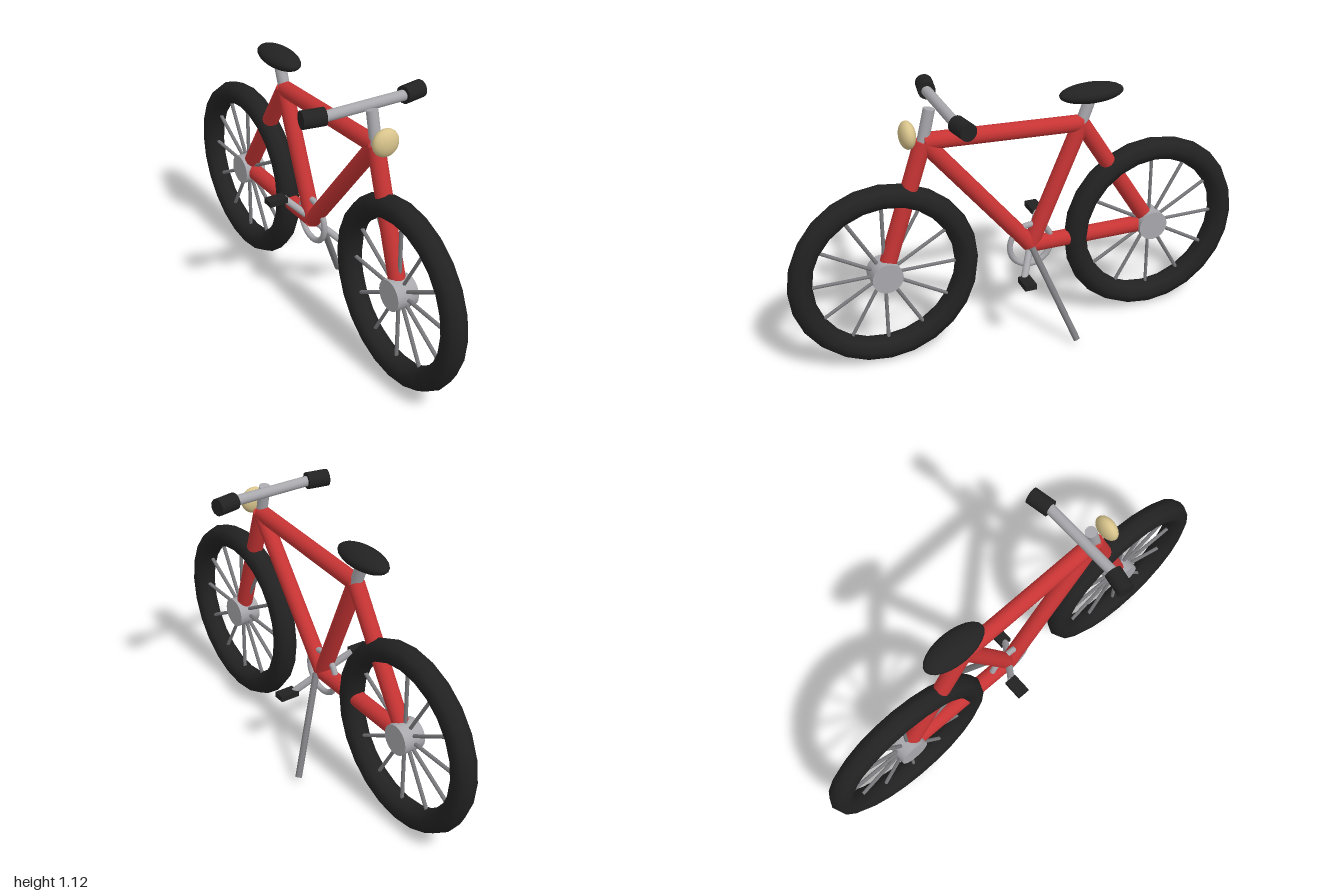
import * as THREE from 'three';

const mat = (name, color) => {
  const m = new THREE.MeshStandardMaterial({ color });
  m.name = name;
  return m;
};

export function createModel() {
  const red = mat('red paint', 0xc83434);
  const black = mat('black rubber', 0x222222);
  const metal = mat('light metal', 0xa8a8ad);
  const steel = mat('dark steel', 0x7c7c80);
  const ivory = mat('lamp ivory', 0xd8c48c);

  const bike = new THREE.Group();
  bike.name = 'bicycle';
  const UP = new THREE.Vector3(0, 1, 0);

  const add = (name, geometry, material, pos = [0, 0, 0], parent = bike) => {
    const mesh = new THREE.Mesh(geometry, material);
    mesh.name = name;
    mesh.position.set(...pos);
    parent.add(mesh);
    return mesh;
  };

  // Round bar between two points
  const bar = (name, from, to, radius, material, parent = bike, sides = 16) => {
    const a = new THREE.Vector3(...from);
    const b = new THREE.Vector3(...to);
    const dir = b.clone().sub(a);
    const mesh = add(name, new THREE.CylinderGeometry(radius, radius, dir.length(), sides), material, [0, 0, 0], parent);
    mesh.position.copy(a).add(b).multiplyScalar(0.5);
    mesh.quaternion.setFromUnitVectors(UP, dir.normalize());
    return mesh;
  };

  // Wheels: tyre, hub and twelve spokes
  const axleY = 0.408;
  const makeWheel = (name, z) => {
    const wheel = new THREE.Group();
    wheel.name = name;
    wheel.position.set(0, axleY, z);
    add('tyre', new THREE.TorusGeometry(0.35, 0.051, 8, 24), black, [0, 0, 0], wheel).rotation.y = Math.PI / 2;
    bar('hub', [-0.048, 0, 0], [0.048, 0, 0], 0.065, metal, wheel, 20);
    for (let i = 0; i < 12; i++) {
      const t = (i * Math.PI) / 6;
      bar('spoke', [0, 0, 0], [0, 0.32 * Math.cos(t), 0.32 * Math.sin(t)], 0.008, steel, wheel, 6);
    }
    bike.add(wheel);
  };
  makeWheel('frontWheel', 0.597);
  makeWheel('rearWheel', -0.597);

  // Frame tubes
  const head = [0, 0.965, 0.415];
  const seatTop = [0, 0.932, -0.262];
  const crankAxis = [0, 0.412, -0.04];
  const frontAxle = [0, axleY, 0.597];
  const rearAxle = [0, axleY, -0.597];
  const tubes = [
    ['fork', frontAxle, head],
    ['topTube', head, seatTop],
    ['downTube', head, crankAxis],
    ['seatTube', crankAxis, seatTop],
    ['chainStay', crankAxis, rearAxle],
    ['seatStay', seatTop, rearAxle],
  ];
  for (const [name, a, b] of tubes) bar(name, a, b, 0.035, red);

  // Saddle on its post
  bar('seatPost', seatTop, [0, 1.045, -0.305], 0.025, metal);
  add('saddle', new THREE.SphereGeometry(1, 24, 16), black, [0, 1.058, -0.305]).scale.set(0.066, 0.039, 0.141);

  // Steering: stem, handlebar and swept-back grips
  bar('stem', head, [0, 1.098, 0.384], 0.024, metal);
  bar('handlebar', [-0.22, 1.095, 0.335], [0.22, 1.095, 0.335], 0.022, metal);
  for (const s of [-1, 1]) {
    bar('grip', [s * 0.176, 1.096, 0.335], [s * 0.268, 1.096, 0.318], 0.036, black);
  }

  // Headlight
  add('headlight', new THREE.SphereGeometry(1, 24, 16), ivory, [0, 1.002, 0.477]).scale.set(0.057, 0.057, 0.033);

  // Chainring, cranks and pedals
  add('chainring', new THREE.TorusGeometry(0.094, 0.013, 8, 28), metal, crankAxis).rotation.y = Math.PI / 2;
  for (const s of [-1, 1]) {
    const y = 0.41 - s * 0.1;
    const z = -0.041 + s * 0.07;
    bar('crankArm', crankAxis, [s * 0.1, y, z], 0.015, metal);
    add('pedal', new THREE.BoxGeometry(0.084, 0.024, 0.052), black, [s * 0.135, y, z]);
  }

  // Kickstand
  bar('kickstand', [0.03, 0.41, -0.035], [0.211, 0.028, -0.168], 0.014, steel);

  return bike;
}
